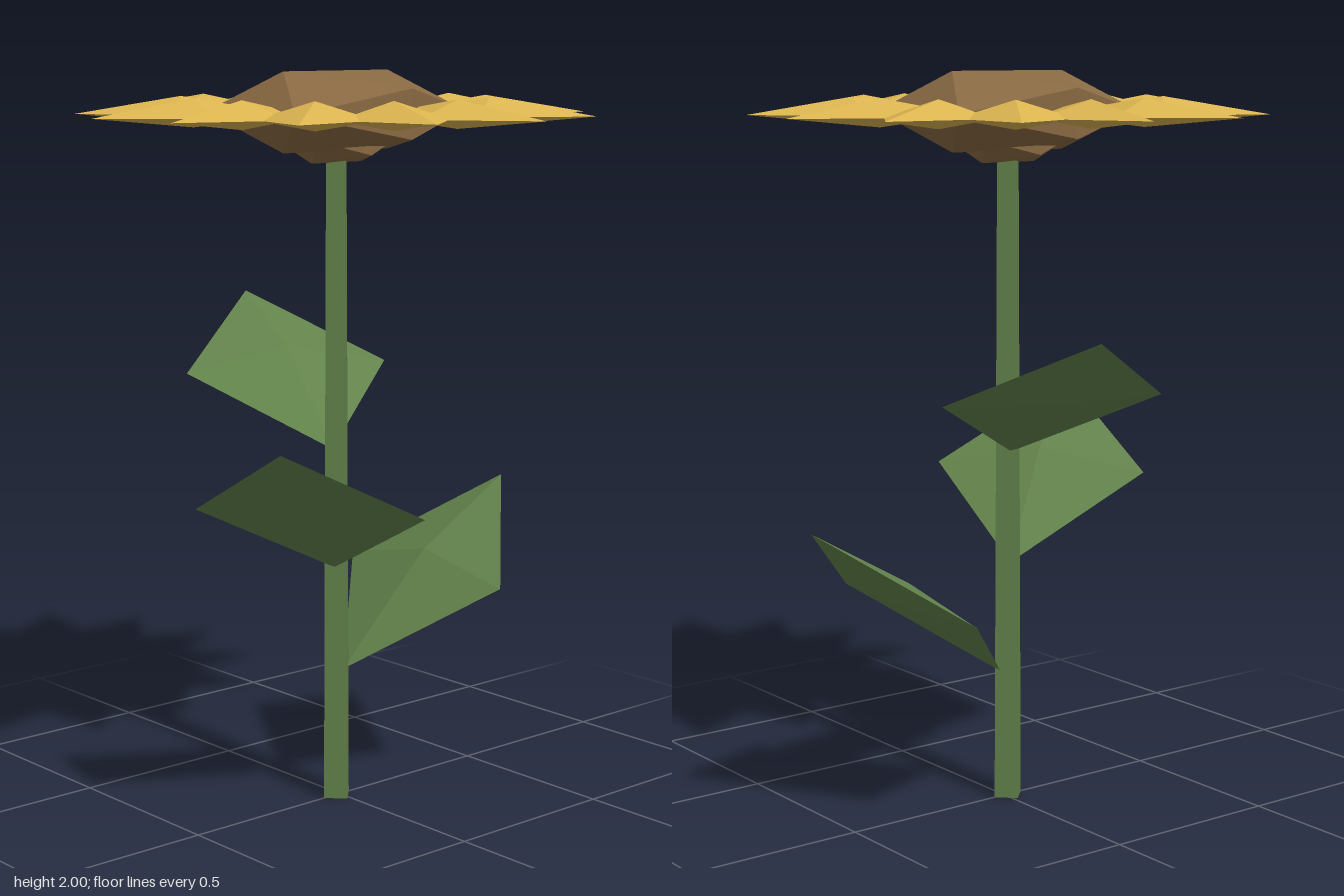
import * as THREE from 'three';

const CENTRE_X = -0.012; // stem and flower axis

function material(name, color) {
  const m = new THREE.MeshStandardMaterial({ color, flatShading: true });
  m.name = name;
  return m;
}

// Four-cornered blade along +x with a raised ridge point above and below its middle.
function bladeGeometry({ start, end, halfWidth, startY, endY, up, down }) {
  const midX = (start + end) / 2;
  const midY = (startY + endY) / 2;
  const ring = [
    [start, startY, 0], [midX, midY, halfWidth],
    [end, endY, 0], [midX, midY, -halfWidth],
  ];
  const top = [midX, midY + up, 0];
  const bottom = [midX, midY - down, 0];
  const positions = [];
  for (let i = 0; i < 4; i++) {
    const a = ring[i], b = ring[(i + 1) % 4];
    positions.push(...a, ...b, ...top, ...b, ...a, ...bottom);
  }
  const geometry = new THREE.BufferGeometry();
  geometry.setAttribute('position', new THREE.Float32BufferAttribute(positions, 3));
  geometry.computeVertexNormals();
  return geometry;
}

export function createModel() {
  const group = new THREE.Group();
  group.name = 'flower';

  const green = material('leaf green', 0x62824b);
  const yellow = material('petal yellow', 0xdcb550);
  const brown = material('seed brown', 0x8a6a43);

  function add(name, geometry, mat, y = 0, turn = 0) {
    const mesh = new THREE.Mesh(geometry, mat);
    mesh.name = name;
    mesh.position.set(CENTRE_X, y, 0);
    mesh.rotation.y = turn;
    group.add(mesh);
    return mesh;
  }

  // Square, slightly tapering stem with its corners on the axes
  add('stem', new THREE.CylinderGeometry(0.036, 0.046, 1.82, 4), green, 0.91);

  // Three leaves spiralling up the stem
  const leaves = [
    { y: 0.36, rise: 0.47, turn: 0 },
    { y: 0.98, rise: 0.37, turn: 1.285 },
    { y: 0.66, rise: 0.425, turn: -2.504 },
  ];
  leaves.forEach(({ y, rise, turn }, i) => {
    const leaf = bladeGeometry({
      start: 0.025, end: 0.637, halfWidth: 0.305,
      startY: 0, endY: rise, up: 0.06, down: 0.01,
    });
    add(`leaf${i + 1}`, leaf, green, y, turn);
  });

  // Ring of ridged petals
  const PETALS = 13;
  const petal = bladeGeometry({
    start: 0.13, end: 0.692, halfWidth: 0.153,
    startY: 0, endY: 0, up: 0.047, down: 0.027,
  });
  for (let i = 0; i < PETALS; i++) {
    add(`petal${i + 1}`, petal, yellow, 1.887, (i / PETALS) * Math.PI * 2);
  }

  // Flattened seed head and the smaller base beneath it
  add('seedHead', new THREE.IcosahedronGeometry(1, 0).scale(0.347, 0.124, 0.347), brown, 1.895);
  add('flowerBase', new THREE.IcosahedronGeometry(1, 0).scale(0.165, 0.075, 0.165), brown, 1.823);

  return group;
}
